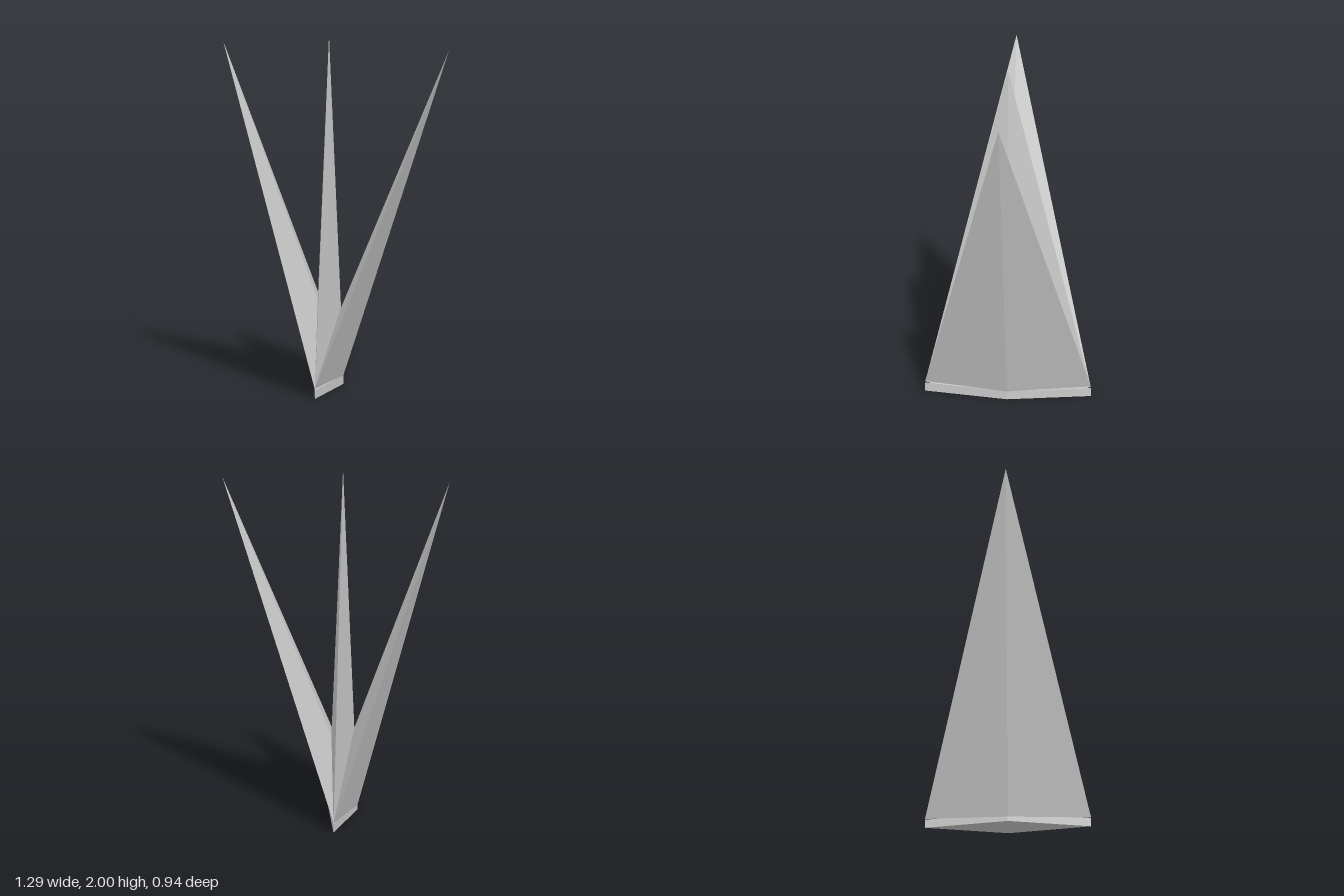
import * as THREE from 'three';

const CX = -0.04;  // centre of the foot
const HALF_W = 0.082, HALF_D = 0.468;

export function createModel() {
  const group = new THREE.Group();
  const material = new THREE.MeshStandardMaterial({ color: 0xcccccc, flatShading: true });

  function add(name, geometry) {
    geometry.computeVertexNormals();
    const mesh = new THREE.Mesh(geometry, material);
    mesh.name = name;
    group.add(mesh);
  }

  // Diamond-based spike leaning to its apex; tilt raises the base's +x corner
  function spike(name, apexX, apexY, baseY, tilt) {
    const geometry = new THREE.ConeGeometry(1, 1, 4, 1).translate(0, 0.5, 0);
    const p = geometry.attributes.position;
    for (let i = 0; i < p.count; i++) {
      const x = p.getX(i), t = p.getY(i), z = p.getZ(i);
      p.setXYZ(i,
        CX + x * HALF_W + (apexX - CX) * t,
        baseY + (apexY - baseY) * t + x * tilt,
        z * HALF_D);
    }
    add(name, geometry);
  }

  spike('centerSpike', CX, 2, 0.055, 0);
  spike('leftSpike', 0.645, 1.93, 0.06, -0.012);
  spike('rightSpike', -0.645, 1.945, 0.055, 0.028);

  // Thin diamond foot
  const foot = new THREE.CylinderGeometry(1, 1, 0.05, 4, 1);
  foot.scale(HALF_W, 1, HALF_D).translate(CX, 0.025, 0);
  add('foot', foot);

  return group;
}
